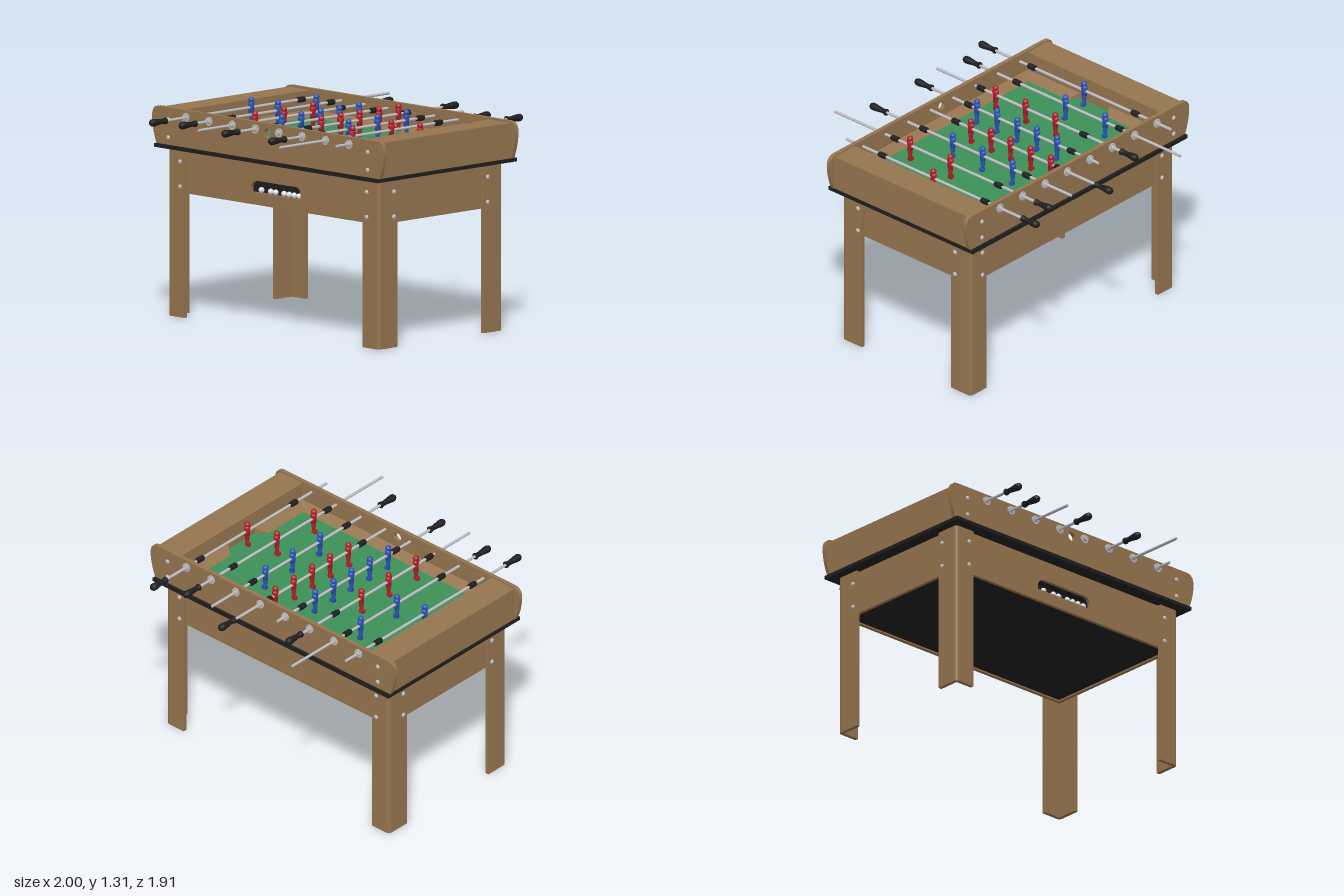
import * as THREE from 'three';
import { ConvexGeometry } from 'three/addons/geometries/ConvexGeometry.js';

const mat = (name, color) => {
  const m = new THREE.MeshStandardMaterial({ color });
  m.name = name;
  return m;
};

export function createModel() {
  const model = new THREE.Group();
  model.name = 'footballTable';
  const wood = mat('wood', 0x96754f), black = mat('black', 0x1e1e20), green = mat('pitchGreen', 0x3c8f58);
  const steel = mat('steel', 0xbcbcc0), blue = mat('blue', 0x2b55b8), red = mat('red', 0xb81f28);
  const white = mat('ballWhite', 0xe6e6e6);

  const body = new THREE.Group();
  body.name = 'cabinet';
  body.position.z = -0.01;
  model.add(body);

  const add = (parent, name, geo, material, x = 0, y = 0, z = 0) => {
    const m = new THREE.Mesh(geo, material);
    m.name = name;
    m.position.set(x, y, z);
    parent.add(m);
    return m;
  };
  const box = (parent, name, material, w, h, d, x, y, z) =>
    add(parent, name, new THREE.BoxGeometry(w, h, d), material, x, y, z);
  const extrude = (shape, depth) =>
    new THREE.ExtrudeGeometry(shape, { depth, bevelEnabled: false, curveSegments: 10 });

  // Black slab between the lower frame and the playing box
  box(body, 'trim', black, 1.93, 0.022, 1.18, 0, 1.045, 0);

  // Long side panels with rounded upper corners; the front one has a ball hole
  for (const s of [1, -1]) {
    const p = new THREE.Shape();
    p.moveTo(-0.96, 1.05);
    p.lineTo(0.96, 1.05);
    p.quadraticCurveTo(0.995, 1.13, 1, 1.21);
    p.bezierCurveTo(1, 1.26, 0.985, 1.285, 0.94, 1.285);
    p.lineTo(-0.94, 1.285);
    p.bezierCurveTo(-0.985, 1.285, -1, 1.26, -1, 1.21);
    p.quadraticCurveTo(-0.995, 1.13, -0.96, 1.05);
    if (s > 0) {
      const hole = new THREE.Path();
      hole.absarc(-0.003, 1.226, 0.028, 0, Math.PI * 2, true);
      p.holes.push(hole);
    }
    add(body, s > 0 ? 'frontPanel' : 'backPanel', extrude(p, 0.025), wood, 0, 0, s > 0 ? 0.546 : -0.571);
  }

  // End boxes, pitch and the sloped edges around it with a gap at each goal
  box(body, 'pitch', green, 1.56, 0.07, 1.1, 0, 1.085, 0);
  const floorY = 1.12, rampY = 1.155;
  const v = (x, y, z) => new THREE.Vector3(x, y, z);
  for (const s of [1, -1]) {
    box(body, 'endBox', wood, 0.182, 0.222, 1.094, s * 0.866, 1.163, 0);
    const zo = s * 0.546, zi = s * 0.486;
    add(body, 'sideSlope', new ConvexGeometry([
      v(-0.775, rampY, zo), v(0.775, rampY, zo), v(-0.775, floorY, zo), v(0.775, floorY, zo),
      v(-0.715, floorY, zi), v(0.715, floorY, zi)]), wood);
    for (const t of [1, -1]) {
      const xo = s * 0.775, xi = s * 0.715;
      add(body, 'endSlope', new ConvexGeometry([
        v(xo, rampY, t * 0.546), v(xo, floorY, t * 0.546), v(xi, floorY, t * 0.486),
        v(xi, floorY, t * 0.165), v(xo, rampY, t * 0.12), v(xo, floorY, t * 0.12)]), wood);
    }
  }

  // Lower frame: front board with the ball slot, back board, ends and base
  const apron = new THREE.Shape([[-0.885, 0.76], [0.885, 0.76], [0.885, 1.036], [-0.885, 1.036]]
    .map(([x, y]) => new THREE.Vector2(x, y)));
  const slot = new THREE.Path();
  slot.moveTo(-0.218, 0.835);
  slot.lineTo(-0.218, 0.865);
  slot.quadraticCurveTo(-0.2, 0.908, -0.165, 0.908);
  slot.lineTo(0.165, 0.908);
  slot.quadraticCurveTo(0.205, 0.908, 0.212, 0.865);
  slot.lineTo(0.212, 0.835);
  apron.holes.push(slot);
  add(body, 'frontApron', extrude(apron, 0.022), wood, 0, 0, 0.48);
  box(body, 'backApron', wood, 1.77, 0.276, 0.022, 0, 0.898, -0.491);
  for (const s of [1, -1]) box(body, 'endApron', wood, 0.022, 0.276, 0.96, s * 0.874, 0.898, 0);
  box(body, 'base', black, 1.73, 0.012, 0.964, 0, 0.776, 0);

  // Ball tray behind the slot
  box(body, 'trayBack', black, 0.46, 0.1, 0.01, 0, 0.87, 0.42);
  box(body, 'trayFloor', black, 0.46, 0.008, 0.064, 0, 0.83, 0.448);
  box(body, 'trayRoof', black, 0.46, 0.008, 0.064, 0, 0.914, 0.448);
  for (const s of [1, -1]) box(body, 'traySide', black, 0.008, 0.09, 0.064, s * 0.226, 0.87, 0.448);
  const ballGeo = new THREE.SphereGeometry(0.018, 16, 12);
  for (const x of [-0.15, -0.07, -0.027, 0.045, 0.088, 0.132, 0.176]) add(body, 'ball', ballGeo, white, x, 0.85, 0.478);

  // Angle-section legs with a rounded outer corner, and dome bolts
  const boltGeo = new THREE.SphereGeometry(0.015, 12, 8);
  const bolt = (x, y, z, axis) => {
    const b = add(body, 'bolt', boltGeo, steel, x, y, z);
    b.scale[axis] = 0.65;
  };
  const X = 0.91, Z = 0.525, T = 0.024, R = 0.025;
  for (const sx of [1, -1]) for (const sz of [1, -1]) {
    const l = new THREE.Shape();
    const P = (x, z) => [sx * x, -sz * z];
    l.moveTo(...P(X - 0.14, Z));
    l.lineTo(...P(X - R, Z));
    l.quadraticCurveTo(...P(X, Z), ...P(X, Z - R));
    l.lineTo(...P(X, Z - 0.16));
    l.lineTo(...P(X - T, Z - 0.16));
    l.lineTo(...P(X - T, Z - T));
    l.lineTo(...P(X - 0.14, Z - T));
    l.closePath();
    add(body, sz > 0 ? 'frontLeg' : 'backLeg', extrude(l, 1.036).rotateX(-Math.PI / 2), wood);
    for (const y of [0.8, 0.953]) {
      bolt(sx * 0.805, y, sz * Z, 'z');
      bolt(sx * X, y, sz * 0.397, 'x');
    }
    for (const y of [1.1, 1.21]) bolt(sx * 0.86, y, sz * 0.571, 'z');
  }

  // Shared rod fittings
  const lathe = (pts, seg = 16) => new THREE.LatheGeometry(pts.map(([r, y]) => new THREE.Vector2(r, y)), seg);
  const along = (r, len, seg = 16) => new THREE.CylinderGeometry(r, r, len, seg).rotateX(Math.PI / 2);
  const handleGeo = lathe([[0, 0], [0.02, 0], [0.021, 0.008], [0.016, 0.02], [0.0155, 0.04], [0.019, 0.07],
    [0.023, 0.1], [0.0225, 0.118], [0.015, 0.13], [0, 0.132]]).rotateX(Math.PI / 2);
  const bumperGeo = along(0.018, 0.042), collarGeo = along(0.0145, 0.06);
  const flangeGeo = along(0.028, 0.01, 20), sleeveGeo = along(0.016, 0.024), screwGeo = along(0.004, 0.004, 8);

  // Player parts, measured from the rod centre
  const headGeo = new THREE.SphereGeometry(0.0185, 14, 10);
  const torsoGeo = lathe([[0, -0.03], [0.018, -0.03], [0.019, 0], [0.024, 0.024], [0.018, 0.034], [0.009, 0.038], [0.008, 0.048]], 12);
  torsoGeo.scale(0.75, 1, 1);
  const legGeo = lathe([[0, -0.096], [0.012, -0.096], [0.011, -0.075], [0.017, -0.028]], 10);
  const footGeo = new THREE.BoxGeometry(0.03, 0.022, 0.024);
  const player = (parent, z, material, facing) => {
    const g = new THREE.Group();
    g.name = 'player';
    g.position.z = z;
    parent.add(g);
    add(g, 'head', headGeo, material, 0, 0.047, 0);
    add(g, 'torso', torsoGeo, material);
    add(g, 'legs', legGeo, material);
    add(g, 'foot', footGeo, material, facing * 0.006, -0.093, 0);
  };

  // Rods: x, handle side, handle outer end, plain end, bumper positions, players
  const rods = [
    [-0.705, 1, 0.865, -0.70, [-0.41, 0.435], [0.01]],
    [-0.505, 1, 0.81, -0.96, [-0.465, 0.375], [-0.345, -0.02]],
    [-0.305, -1, -0.79, 0.85, [-0.355, 0.485], [-0.12, 0.125, 0.37]],
    [-0.105, 1, 0.84, -0.655, [-0.435, 0.405], [-0.315, -0.15, 0.01, 0.175, 0.34]],
    [0.098, -1, -0.95, 0.565, [-0.515, 0.325], [-0.45, -0.285, -0.12, 0.04, 0.205]],
    [0.298, 1, 0.84, -0.80, [-0.435, 0.405], [-0.32, -0.075, 0.17]],
    [0.5, -1, -0.825, 0.95, [-0.39, 0.455], [0.005, 0.335]],
    [0.702, -1, -0.90, 0.67, [-0.465, 0.375], [-0.04]],
  ];
  for (const [x, side, outer, end, bumpers, players] of rods) {
    const g = new THREE.Group();
    g.name = 'rodAssembly';
    g.position.set(x, 1.24, 0);
    model.add(g);
    const tip = outer - side * 0.02;
    add(g, 'rod', along(0.009, Math.abs(tip - end), 12), steel, 0, 0, (tip + end) / 2);
    const handle = add(g, 'handle', handleGeo, black, 0, 0, outer - side * 0.132);
    if (side < 0) handle.rotation.y = Math.PI;
    for (const z of bumpers) {
      add(g, 'bumper', bumperGeo, black, 0, 0, z);
      add(g, 'bumperCollar', collarGeo, black, 0, 0, z);
    }
    for (const s of [1, -1]) {
      add(g, 'bearingFlange', flangeGeo, steel, 0, 0, -0.01 + s * 0.574);
      add(g, 'bearingSleeve', sleeveGeo, steel, 0, 0, -0.01 + s * 0.582);
      for (let i = 0; i < 3; i++) {
        const a = Math.PI / 2 + i * Math.PI * 2 / 3;
        add(g, 'bearingScrew', screwGeo, steel, Math.cos(a) * 0.022, Math.sin(a) * 0.022, -0.01 + s * 0.58);
      }
    }
    for (const z of players) player(g, z, side > 0 ? blue : red, side);
  }
  return model;
}
